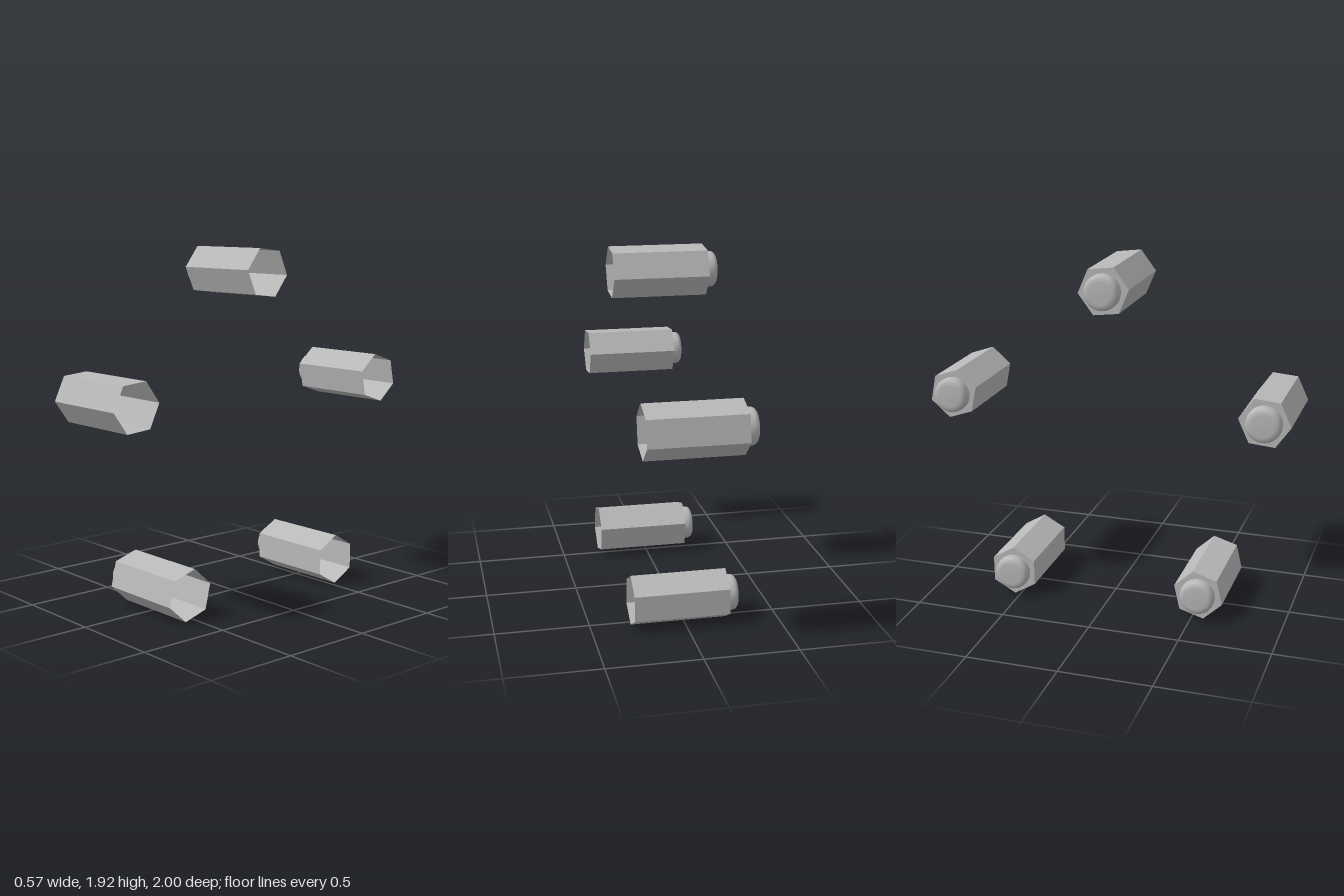
import * as THREE from 'three';

const COUNT = 5;            // bolts around the ring
const RING_R = 0.91, RING_Y = 0.88;
const HEX_R = 0.14, BUTTON_R = 0.096;
const X_BACK = -0.225, X_FRONT = 0.285;
const TWIST = THREE.MathUtils.degToRad(-7); // angle of one hexagon corner

export function createModel() {
  const model = new THREE.Group();
  model.name = 'boltRing';
  const steel = new THREE.MeshStandardMaterial({ color: 0xb8b8b8, side: THREE.DoubleSide });
  steel.name = 'steel grey';

  // Open six-sided sleeve, lying along x
  const length = X_FRONT - X_BACK;
  const sleeveGeo = new THREE.CylinderGeometry(HEX_R, HEX_R, length, 6, 1, true)
    .toNonIndexed()
    .rotateX(Math.PI / 2)
    .rotateZ(TWIST - Math.PI / 6)
    .rotateY(Math.PI / 2)
    .translate((X_FRONT + X_BACK) / 2, 0, 0);
  sleeveGeo.computeVertexNormals();

  // Hexagonal end plate with a round hole, facing -x
  const hex = new THREE.Shape();
  for (let i = 0; i < 6; i++) {
    const a = TWIST + (i * Math.PI) / 3;
    const x = HEX_R * Math.cos(a), y = HEX_R * Math.sin(a);
    if (i === 0) hex.moveTo(x, y); else hex.lineTo(x, y);
  }
  hex.closePath();
  hex.holes.push(new THREE.Path().absarc(0, 0, BUTTON_R, 0, Math.PI * 2, true));
  const plateGeo = new THREE.ShapeGeometry(hex, 32)
    .rotateY(-Math.PI / 2)
    .scale(1, 1, -1)
    .translate(X_BACK, 0, 0);
  // The mirror above turns the corner order round, so restore it
  const order = plateGeo.index.array;
  for (let i = 0; i < order.length; i += 3) {
    [order[i], order[i + 1]] = [order[i + 1], order[i]];
  }
  plateGeo.computeVertexNormals();

  // Rounded hollow button on the end plate
  const profile = [
    [0, -0.285], [0.06, -0.284], [0.078, -0.281], [0.089, -0.273],
    [0.0945, -0.262], [BUTTON_R, -0.25], [BUTTON_R, X_BACK],
  ].map(([r, x]) => new THREE.Vector2(r, x));
  const buttonGeo = new THREE.LatheGeometry(profile, 32)
    .rotateX(Math.PI / 2)
    .rotateY(Math.PI / 2);

  // Repeat the bolt evenly round the ring
  for (let i = 0; i < COUNT; i++) {
    const bolt = new THREE.Group();
    bolt.name = `bolt${i + 1}`;
    const parts = { hexSleeve: sleeveGeo, endPlate: plateGeo, endButton: buttonGeo };
    for (const [name, geo] of Object.entries(parts)) {
      const mesh = new THREE.Mesh(geo, steel);
      mesh.name = name;
      bolt.add(mesh);
    }
    const a = (i * Math.PI * 2) / COUNT;
    bolt.rotation.x = a;
    bolt.position.set(0, RING_Y + RING_R * Math.cos(a), RING_R * Math.sin(a));
    model.add(bolt);
  }
  return model;
}
